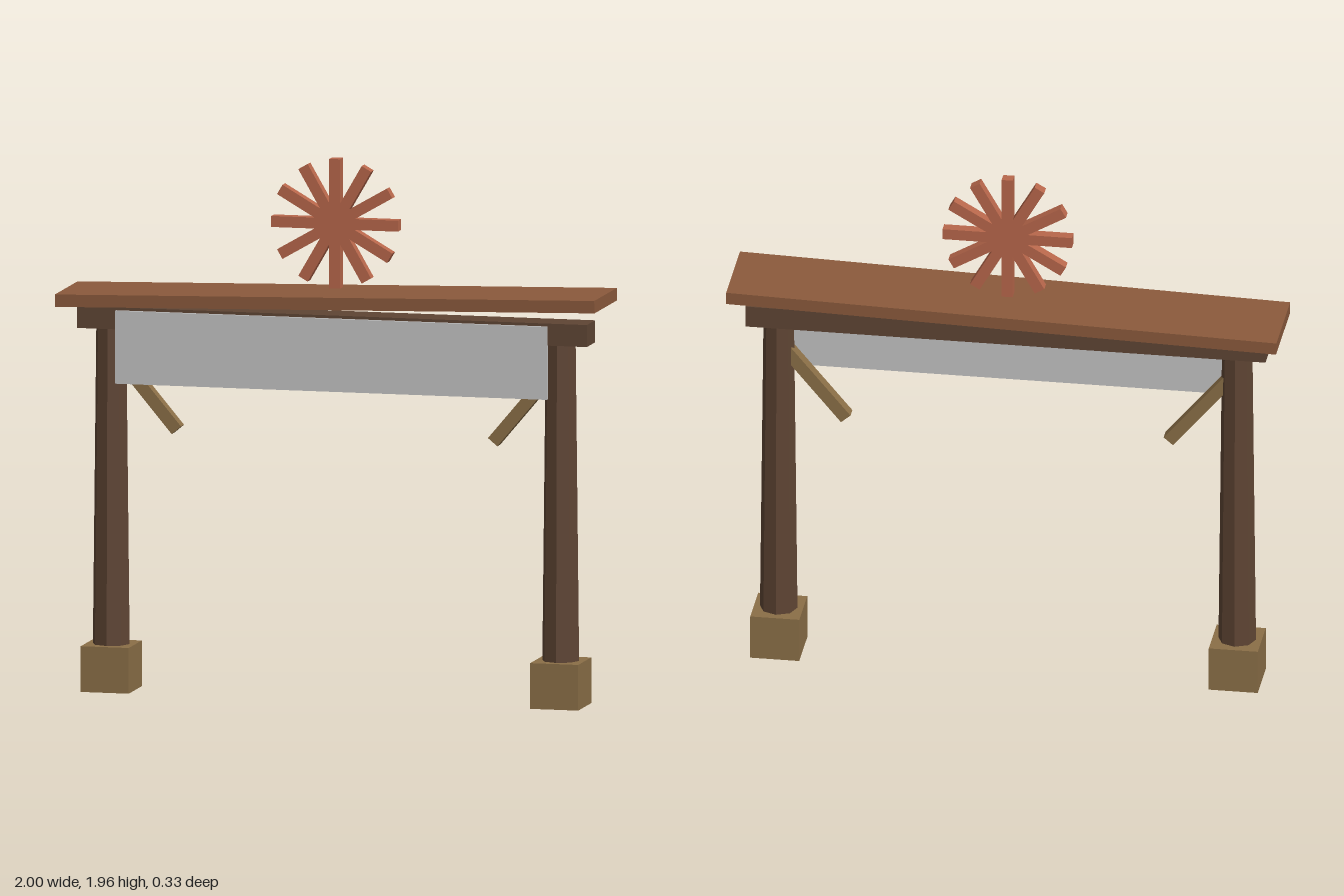
import * as THREE from 'three';

function material(name, color) {
  const m = new THREE.MeshStandardMaterial({ color, flatShading: true });
  m.name = name;
  return m;
}

export function createModel() {
  const model = new THREE.Group();
  model.name = 'gateway';

  const darkWood = material('dark wood', 0x5f4534);
  const roofWood = material('roof wood', 0x8b5a3c);
  const tanWood = material('tan wood', 0x8b6f47);
  const panelGrey = material('panel grey', 0xc4c4c4);
  const rust = material('rust', 0xb8674b);

  const add = (name, geometry, mat, x, y, z = 0, parent = model) => {
    const mesh = new THREE.Mesh(geometry, mat);
    mesh.name = name;
    mesh.position.set(x, y, z);
    parent.add(mesh);
    return mesh;
  };
  const box = (w, h, d) => new THREE.BoxGeometry(w, h, d);

  // Tapered octagonal posts on block footings, with diagonal braces
  for (const [side, s] of [['left', 1], ['right', -1]]) {
    add(side + 'Footing', box(0.178, 0.166, 0.19), tanWood, s * 0.833, 0.083);
    add(side + 'Post', new THREE.CylinderGeometry(0.055, 0.07, 1.36, 8), darkWood, s * 0.833, 0.682);
    const brace = add(side + 'Brace', box(0.045, 0.4, 0.045), tanWood, s * 0.715, 1.105);
    brace.rotation.z = -s * 0.7;
  }

  // Cross beam and the sign panel hung on its front
  add('crossBeam', box(1.89, 0.08, 0.12), darkWood, 0, 1.356);
  add('signPanel', box(1.6, 0.265, 0.02), panelGrey, 0, 1.253, 0.062);

  // Slightly tilted roof plank
  const roof = add('roofPlank', box(2, 0.045, 0.33), roofWood, 0, 1.453);
  roof.rotation.z = 0.025;

  // Twelve-rayed ornament from six crossed bars
  const star = new THREE.Group();
  star.name = 'starOrnament';
  star.position.set(0, 1.723, 0);
  model.add(star);
  for (let i = 0; i < 6; i++) {
    const bar = add('rayBar' + (i + 1), box(0.47, 0.04, 0.04), rust, 0, 0, 0, star);
    bar.rotation.z = (i * Math.PI) / 6;
  }

  return model;
}
